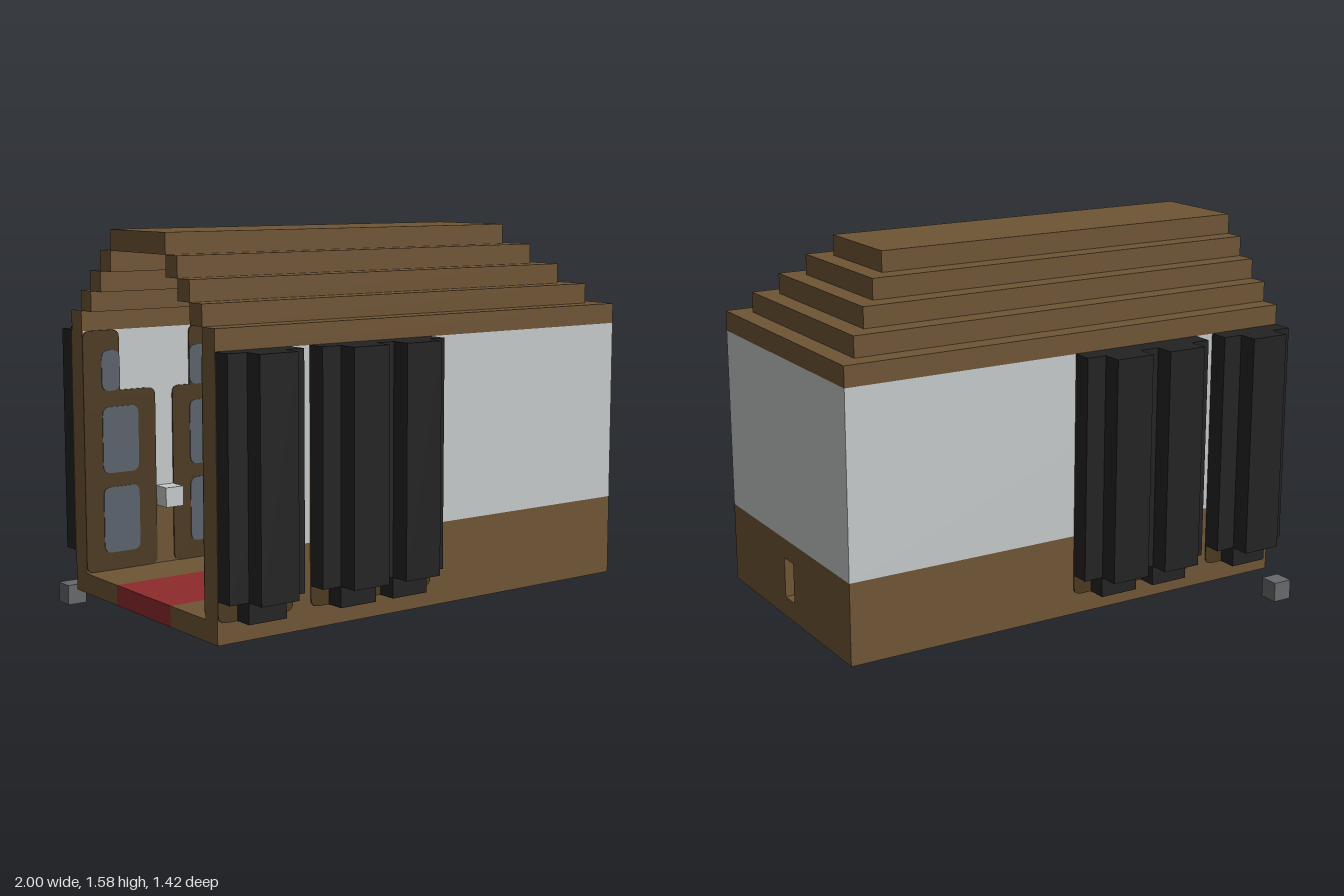
import * as THREE from 'three';

const U = 1 / 12; // one block

export function createModel() {
  const model = new THREE.Group();
  model.name = 'steppedRoofHall';
  const mat = (name, color) => {
    const m = new THREE.MeshStandardMaterial({ color });
    m.name = name;
    return m;
  };
  const timber = mat('timber brown', 0x6e5435);
  const darkTimber = mat('dark timber', 0x4b3920);
  const plaster = mat('pale plaster', 0xc4c8c8);
  const black = mat('shutter black', 0x232323);
  const stone = mat('stone grey', 0x66686a);
  const red = mat('carpet red', 0x8f2a2c);
  const glass = mat('window glass', 0x5a616a);

  // Box from block coordinates: x from the open end (0..24), y from the ground, z from the centre
  const box = (name, m, x0, x1, y0, y1, z0, z1) => {
    const g = new THREE.BoxGeometry((x1 - x0) * U, (y1 - y0) * U, (z1 - z0) * U);
    const mesh = new THREE.Mesh(g, m);
    mesh.position.set(((x0 + x1) / 2 - 12) * U, ((y0 + y1) / 2) * U, ((z0 + z1) / 2) * U);
    mesh.name = name;
    model.add(mesh);
  };
  // The same box on the front or back side
  const sideBox = (name, m, s, x0, x1, y0, y1, z0, z1) =>
    box(name, m, x0, x1, y0, y1, s > 0 ? z0 : -z1, s > 0 ? z1 : -z0);

  // Thin plate with rounded corners, parallel to the long walls
  const plate = (name, m, x0, x1, y0, y1, z, depth) => {
    const r = 0.4;
    const s = new THREE.Shape();
    s.moveTo(x0 + r, y0);
    s.lineTo(x1 - r, y0).quadraticCurveTo(x1, y0, x1, y0 + r);
    s.lineTo(x1, y1 - r).quadraticCurveTo(x1, y1, x1 - r, y1);
    s.lineTo(x0 + r, y1).quadraticCurveTo(x0, y1, x0, y1 - r);
    s.lineTo(x0, y0 + r).quadraticCurveTo(x0, y0, x0 + r, y0);
    const g = new THREE.ExtrudeGeometry(s, { depth, bevelEnabled: false, curveSegments: 4 });
    g.translate(-12, 0, -depth / 2);
    g.scale(U, U, U);
    const mesh = new THREE.Mesh(g, m);
    mesh.position.z = z * U;
    mesh.name = name;
    model.add(mesh);
  };

  // Floor with the carpet set into it
  for (const s of [1, -1]) sideBox('floorSide', timber, s, 0, 24, 1, 2, 2.5, 6.5);
  box('floorEnd', timber, 22, 24, 1, 2, -2.5, 2.5);
  box('carpet', red, 0, 22, 1, 2, -2.5, 2.5);

  // Closed end wall with a small opening
  for (const s of [1, -1]) sideBox('endWallBase', timber, s, 23, 24, 2, 5, 0.5, 5.5);
  box('endWallLintel', timber, 23, 24, 4, 5, -0.5, 0.5);
  box('endWall', plaster, 23, 24, 5, 14, -5.5, 5.5);

  // Bays: wall span, window columns
  const bays = [
    { x0: 0, x1: 4, windows: [1], top: [0, 2] },
    { x0: 5, x1: 12, windows: [6, 9], top: [6, 11] },
  ];
  for (const s of [1, -1]) {
    // Long walls
    sideBox('sideWallBase', timber, s, 0, 24, 2, 5, 5.5, 6.5);
    sideBox('sideWall', plaster, s, 0.07, 24, 5, 14, 5.5, 6.5);
    sideBox('wallEndPost', timber, s, 0, 0.07, 5, 14, 5.5, 6.5);
    // Small block between the bays
    sideBox('wallBracket', plaster, s, 7 - 3, 5, 5, 6, 4.5, 5.5);

    for (const { x0, x1, windows, top } of bays) {
      // Window surrounds outside and inside
      plate('outerFrame', darkTimber, x0, x1, 2, 14, s * 6.53, 0.07);
      plate('innerFrame', darkTimber, x0, x1, 2, 11, s * 5.47, 0.07);
      plate('innerFrameTop', darkTimber, top[0], top[1], 10, 14, s * 5.465, 0.07);
      // Black shutters
      sideBox('shutterBack', black, s, x0, x1, 3, 14, 6.5, 7.5);
      for (const w of windows) {
        sideBox('shutterFoot', black, s, w, w + 2, 2, 3, 6.5, 7.5);
        sideBox('shutterFront', black, s, w, w + 2, 3, 14, 7.5, 8.5);
        // Panes seen from the inside
        for (const y of [3, 7]) plate('windowPane', glass, w, w + 2, y - 0.1, y + 3.2, s * 5.43, 0.07);
        plate('topPane', glass, w, w + (x0 ? 2 : 1), 11, 13, s * 5.43, 0.07);
      }
    }
  }

  // Hollow stepped roof, open at one end
  for (let i = 0; i < 4; i++) {
    const y = 14 + i, h = 6.5 - i;
    for (const s of [1, -1]) sideBox('roofStep', timber, s, 0, 24 - i, y, y + 1, h - 1, h);
    box('roofEndStep', timber, 23 - i, 24 - i, y, y + 1, 1 - h, h - 1);
  }
  box('roofCap', timber, 0, 20, 18, 19, -2.5, 2.5);

  // Loose stone by the back corner
  box('looseStone', stone, 0, 1, 0, 1, -8.5, -7.5);

  return model;
}
